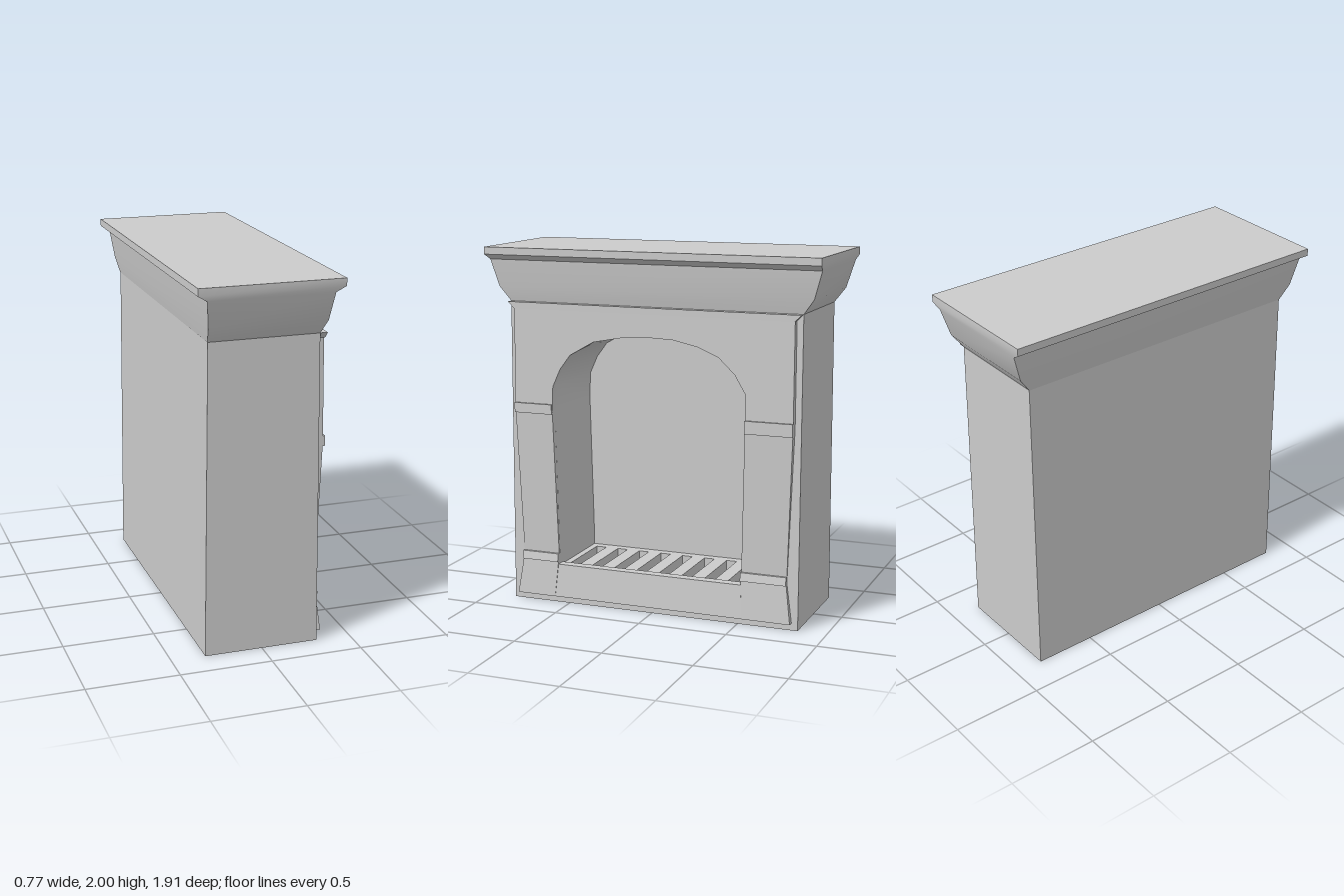
import * as THREE from 'three';
import { toCreasedNormals } from 'three/addons/utils/BufferGeometryUtils.js';

const material = new THREE.MeshStandardMaterial({ color: 0xcccccc, side: THREE.DoubleSide });

function addMesh(group, name, geometry) {
  const mesh = new THREE.Mesh(toCreasedNormals(geometry, 0.6), material);
  mesh.name = name;
  group.add(mesh);
}

// Outline points are [z, y]; the outline is mapped so that it extrudes along +x.
const toPath = (points) => points.map(([z, y]) => new THREE.Vector2(-z, y));

// Slab standing in the z-y plane; its back and front faces follow x = f(y).
function slab(group, name, outline, back, front, hole) {
  const shape = new THREE.Shape(toPath(outline));
  if (hole) shape.holes.push(new THREE.Path(toPath(hole)));
  const g = new THREE.ExtrudeGeometry(shape, { depth: 1, bevelEnabled: false });
  g.rotateY(Math.PI / 2);
  const p = g.attributes.position;
  for (let i = 0; i < p.count; i++) {
    p.setX(i, (p.getX(i) > 0.5 ? front : back)(p.getY(i)));
  }
  g.computeVertexNormals();
  addMesh(group, name, g);
}

const rect = (z0, z1, y0, y1) => [[z0, y0], [z1, y0], [z1, y1], [z0, y1]];
const line = (y0, x0, y1, x1) => (y) => x0 + ((x1 - x0) * (y - y0)) / (y1 - y0);
const at = (x) => () => x;

export function createModel() {
  const group = new THREE.Group();
  const W = 0.84;
  const innerBack = -0.17;
  const bodyFront = line(0, 0.31, 1.7, 0.293);

  // Arch curve from the left jamb over to the right jamb
  const arch = [
    [0.575, 1.24], [0.53, 1.34], [0.47, 1.42], [0.33, 1.5], [0.17, 1.53], [0, 1.54],
    [-0.13, 1.535], [-0.27, 1.505], [-0.39, 1.455], [-0.48, 1.37], [-0.54, 1.27],
  ];
  const opening = [[0.56, 0.12], [0.56, 0.29], [0.58, 1.1], ...arch, [-0.54, 1.1], [-0.52, 0.29], [-0.52, 0.12]];

  // Hollow body and its closed back
  slab(group, 'body', rect(-W, W, 0, 1.7), at(innerBack), bodyFront, opening);
  slab(group, 'backWall', rect(-W, W, 0, 1.7), line(0, -0.315, 1.7, -0.3), at(innerBack));

  // Raised facing around the arch
  slab(group, 'archFacing',
    [[0.805, 1.1], [0.805, 1.67], [-0.805, 1.67], [-0.805, 1.1], [-0.54, 1.1], ...[...arch].reverse(), [0.58, 1.1]],
    at(0.28), line(1.1, 0.335, 1.67, 0.328));

  // Mitred strip below the crown
  slab(group, 'topTrim', [[0.805, 1.665], [W, 1.7], [-W, 1.7], [-0.805, 1.665]], at(0.28), at(0.334));

  // Tapering pilasters with bands and flared feet
  const sides = [
    { name: 'left', s: 1, inTop: 0.58, inLow: 0.56, inFoot: 0.575, band: [1.085, 1.14], low: [0.24, 0.285] },
    { name: 'right', s: -1, inTop: 0.54, inLow: 0.52, inFoot: 0.535, band: [1.06, 1.13], low: [0.25, 0.295] },
  ];
  for (const { name, s, inTop, inLow, inFoot, band, low } of sides) {
    slab(group, name + 'Pilaster',
      [[s * inLow, 0.24], [s * 0.775, 0.24], [s * 0.805, 1.1], [s * inTop, 1.1]],
      at(0.28), line(0.24, 0.312, 1.1, 0.335));
    slab(group, name + 'UpperBand', rect(s * inTop, s * 0.805, ...band), at(0.28), at(0.347));
    slab(group, name + 'LowerBand', rect(s * inLow, s * 0.777, ...low), at(0.28),
      line(low[0], 0.338, low[1], 0.328));
    slab(group, name + 'Foot',
      [[s * inFoot, 0.04], [s * 0.805, 0.04], [s * 0.777, low[0]], [s * inLow, low[0]]],
      at(0.28), line(0.04, 0.344, 0.24, 0.326));
  }

  // Sloping sill between the feet
  slab(group, 'sill', [[0.575, 0.04], [0.56, 0.225], [-0.52, 0.225], [-0.535, 0.04]],
    at(0.27), line(0.04, 0.342, 0.225, 0.325));

  // Slotted hearth grate
  const box = (x0, x1, z0, z1) =>
    [[x0, -z1], [x1, -z1], [x1, -z0], [x0, -z0]].map(([x, y]) => new THREE.Vector2(x, y));
  const grate = new THREE.Shape(box(innerBack, 0.3, -0.52, 0.56));
  for (let i = 0; i < 8; i++) {
    const z = 0.02 + (i - 3.5) * 0.135;
    grate.holes.push(new THREE.Path(box(-0.12, 0.25, z - 0.03, z + 0.03)));
  }
  const grateGeometry = new THREE.ExtrudeGeometry(grate, { depth: 0.09, bevelEnabled: false });
  grateGeometry.rotateX(-Math.PI / 2);
  grateGeometry.translate(0, 0.125, 0);
  addMesh(group, 'hearthGrate', grateGeometry);

  // Flared crown: rectangular cross-sections [y, back x, front x, half width z]
  const rows = [
    [1.7, -0.302, 0.293, W], [1.78, -0.317, 0.312, 0.9], [1.93, -0.335, 0.33, 0.945],
    [1.96, -0.385, 0.382, 0.955], [2, -0.385, 0.382, 0.955],
  ];
  const rings = rows.map(([y, b, f, z]) => [[f, y, z], [f, y, -z], [b, y, -z], [b, y, z]]);
  const verts = [];
  const quad = (a, b, c, d) => verts.push(...a, ...b, ...c, ...a, ...c, ...d);
  for (let r = 0; r < rings.length - 1; r++) {
    for (let i = 0; i < 4; i++) {
      const j = (i + 1) % 4;
      quad(rings[r][i], rings[r][j], rings[r + 1][j], rings[r + 1][i]);
    }
  }
  quad(...rings[rings.length - 1]);
  quad(...[...rings[0]].reverse());
  const crown = new THREE.BufferGeometry();
  crown.setAttribute('position', new THREE.Float32BufferAttribute(verts, 3));
  crown.computeVertexNormals();
  addMesh(group, 'crown', crown);

  return group;
}
